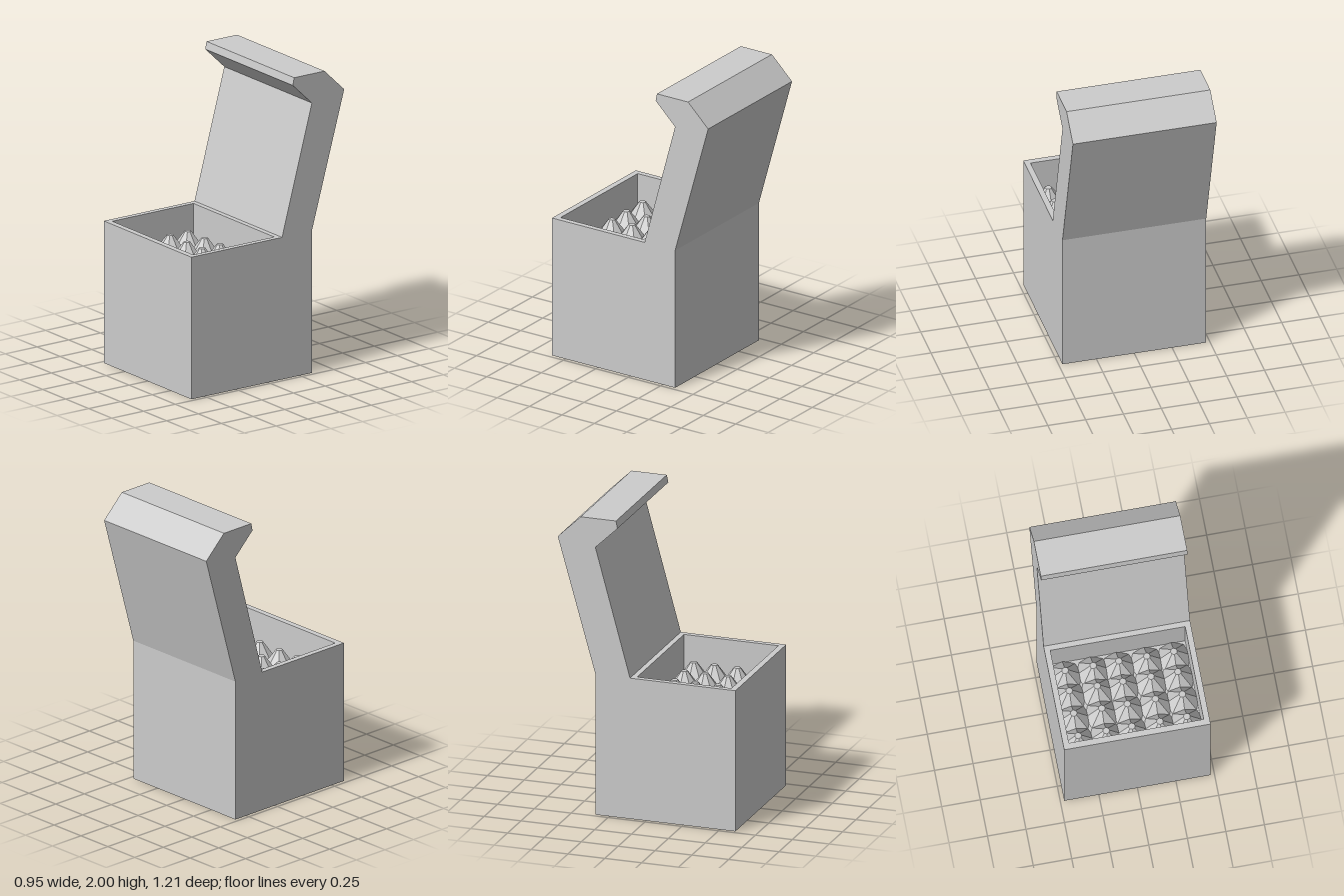
import * as THREE from 'three';

const HALF = 0.475;           // half width of chest and lid
const RIM = 0.95;             // height of the open rim
const FLOOR = 0.685;          // height of the inner floor

const material = new THREE.MeshStandardMaterial({ color: 0xcccccc, flatShading: true });

function add(parent, name, geometry) {
  const mesh = new THREE.Mesh(geometry, material);
  mesh.name = name;
  parent.add(mesh);
  return mesh;
}

// Rectangle outline on the ground plane, drawn with y = -z
function rectangle(Type, x, zBack, zFront) {
  return new Type([[-x, -zFront], [x, -zFront], [x, -zBack], [-x, -zBack]]
    .map(([a, b]) => new THREE.Vector2(a, b)));
}

export function createModel() {
  const group = new THREE.Group();
  group.name = 'openChest';

  // Four walls as one hollow block
  const outline = rectangle(THREE.Shape, HALF, -0.345, 0.605);
  outline.holes.push(rectangle(THREE.Path, 0.4375, -0.075, 0.565));
  const walls = new THREE.ExtrudeGeometry(outline, { depth: RIM, bevelEnabled: false });
  walls.rotateX(-Math.PI / 2);
  add(group, 'chestWalls', walls);

  // Floor filling the lower part of the walls
  const floor = new THREE.BoxGeometry(0.875, FLOOR, 0.64);
  floor.translate(0, FLOOR / 2, 0.245);
  add(group, 'chestFloor', floor);

  // Tilted open lid, extruded from its side profile [z, y]
  const profile = [[-0.11, RIM], [-0.345, RIM], [-0.6, 1.85], [-0.445, 2],
    [-0.205, 2], [-0.195, 1.95], [-0.345, 1.805]];
  const lidShape = new THREE.Shape(profile.map(([z, y]) => new THREE.Vector2(-z, y)));
  const lid = new THREE.ExtrudeGeometry(lidShape, { depth: HALF * 2, bevelEnabled: false });
  lid.rotateY(Math.PI / 2);
  lid.translate(-HALF, 0, 0);
  add(group, 'lid', lid);

  // Rows of blunt eight-sided spikes inside
  const spikes = new THREE.Group();
  spikes.name = 'spikes';
  group.add(spikes);
  const height = 0.12;
  const spike = new THREE.CylinderGeometry(0.022, 0.11, height, 8);
  for (const z of [0.025, 0.165, 0.32, 0.475]) {
    for (const x of [-0.36, -0.178, -0.012, 0.17, 0.345]) {
      add(spikes, 'spike', spike).position.set(x, FLOOR + height / 2, z);
    }
  }
  return group;
}
